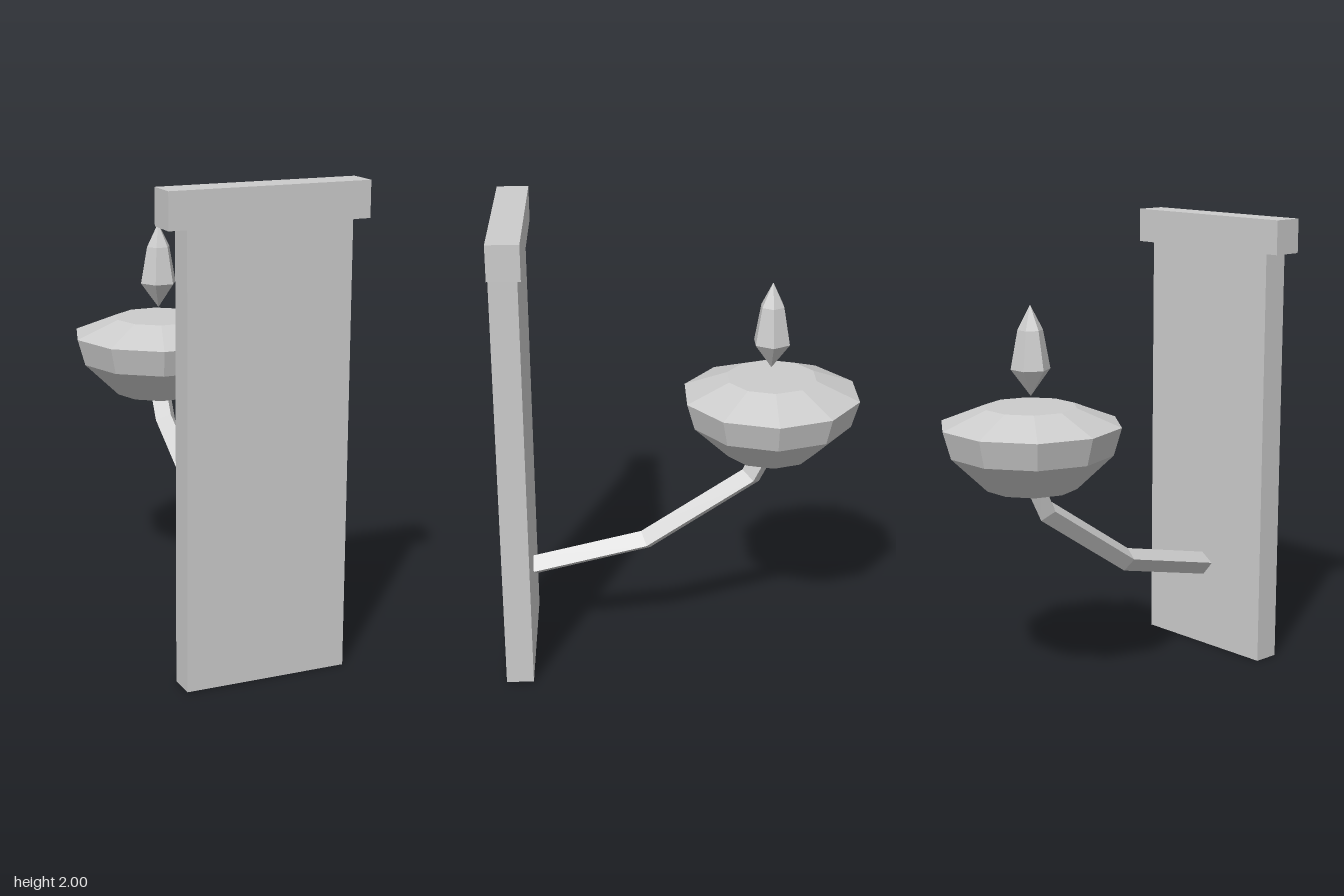
import * as THREE from 'three';

const grey = new THREE.MeshStandardMaterial({ color: 0xcccccc, flatShading: true });
grey.name = 'light grey';

function addMesh(group, name, geometry, x, y, z) {
  const mesh = new THREE.Mesh(geometry, grey);
  mesh.name = name;
  mesh.position.set(x, y, z);
  group.add(mesh);
}

// faceted lathe with a corner pointing along x; profile runs bottom to top
function facetedLathe(profile, sides) {
  const points = profile.map(([r, y]) => new THREE.Vector2(r, y));
  return new THREE.LatheGeometry(points, sides, Math.PI / 2);
}

// square bar swept along a path of [z, y] points, slightly twisted about its axis
function sweptBar(path, radius, twist) {
  const positions = [], index = [];
  const last = path.length - 1;
  const direction = (i) => new THREE.Vector2(path[i + 1][0] - path[i][0], path[i + 1][1] - path[i][1]).normalize();
  path.forEach(([z, y], i) => {
    const t = direction(Math.max(i - 1, 0)).add(direction(Math.min(i, last - 1))).normalize();
    for (let j = 0; j < 4; j++) {
      const a = j * Math.PI / 2 + twist;
      const u = radius * Math.cos(a), v = radius * Math.sin(a);
      positions.push(u, y - t.x * v, z + t.y * v);
    }
  });
  for (let i = 0; i < last; i++) {
    for (let j = 0; j < 4; j++) {
      const a = i * 4 + j, b = i * 4 + (j + 1) % 4;
      index.push(a, a + 4, b, b, a + 4, b + 4);
    }
  }
  // end caps
  const e = last * 4;
  index.push(0, 1, 2, 0, 2, 3, e, e + 2, e + 1, e, e + 3, e + 2);
  const geometry = new THREE.BufferGeometry();
  geometry.setAttribute('position', new THREE.Float32BufferAttribute(positions, 3));
  geometry.setIndex(index);
  geometry.computeVertexNormals();
  return geometry;
}

export function createModel() {
  const group = new THREE.Group();
  group.name = 'wallLamp';

  // wall plate and its top ledge, flush at the front
  addMesh(group, 'wallPlate', new THREE.BoxGeometry(0.694, 1.852, 0.117), 0, 0.926, 0.7035);
  addMesh(group, 'topLedge', new THREE.BoxGeometry(0.844, 0.148, 0.135), 0, 1.926, 0.6945);

  // bent arm rising to the bowl
  addMesh(group, 'arm', sweptBar([[0.645, 0.389], [0.147, 0.506], [-0.315, 0.81], [-0.39, 0.96]], 0.051, -0.2), 0, 0, 0);

  // closed ten-sided bowl
  addMesh(group, 'bowl', facetedLathe(
    [[0, 0.893], [0.195, 0.93], [0.35, 1.08], [0.384, 1.197], [0.195, 1.272], [0, 1.272]], 10), 0, 0, -0.396);

  // six-sided flame hovering above the bowl
  addMesh(group, 'flame', facetedLathe(
    [[0, 1.315], [0.083, 1.428], [0.053, 1.59], [0, 1.693]], 6), 0, 0, -0.394);

  return group;
}
